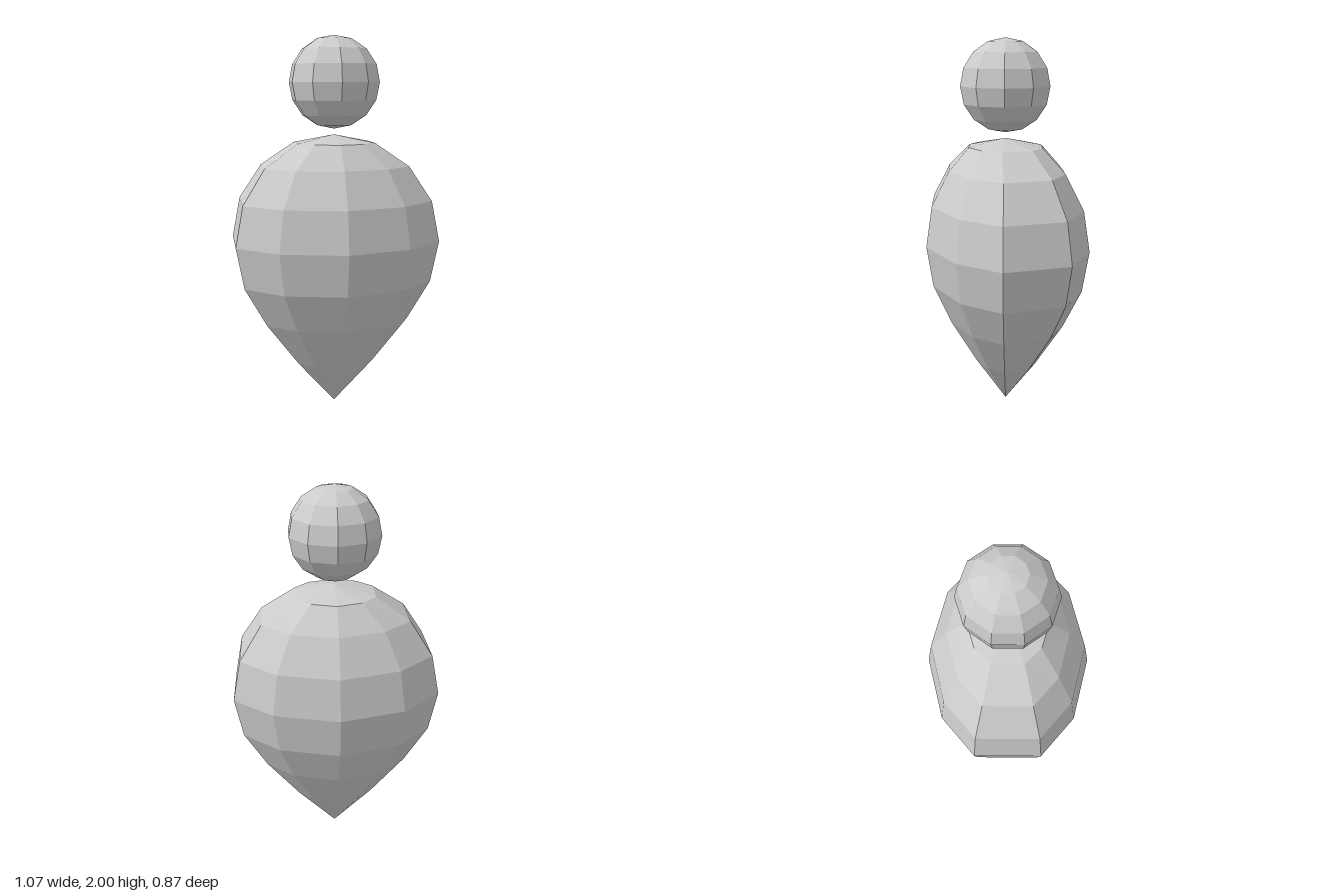
import * as THREE from 'three';

const SIDES = 10, RINGS = 8;

// Faceted ball with a vertex row facing the front and back
function ball(name, radius) {
  const geometry = new THREE.SphereGeometry(radius, SIDES, RINGS);
  geometry.rotateY(Math.PI / 2);
  const material = new THREE.MeshStandardMaterial({ color: 0xcccccc, flatShading: true });
  const mesh = new THREE.Mesh(geometry, material);
  mesh.name = name;
  return mesh;
}

export function createModel() {
  const group = new THREE.Group();
  group.name = 'pawnFigure';

  // Head: plain low-poly ball floating above the body
  const head = ball('head', 0.24);
  head.position.y = 1.76;
  group.add(head);

  // Body: oval ball whose lower half is drawn out to a point
  const body = ball('body', 1);
  const heights = [1.49, 1.447, 1.326, 1.144, 0.93, 0.71, 0.495, 0.25, 0];
  const position = body.geometry.attributes.position;
  for (let i = 0; i < position.count; i++) {
    const ring = Math.floor(i / (SIDES + 1));
    const x = position.getX(i), z = position.getZ(i);
    // Broad flat flanks, and shoulders slightly squared front to back
    const flank = Math.abs(x) > 0.9 * Math.sin(ring * Math.PI / RINGS) ? 1.3 : 1;
    const shoulder = ring === 1 ? 1.2 : 1;
    position.setXYZ(i, x * 0.564, heights[ring], z * 0.435 * flank * shoulder);
  }
  body.geometry.computeVertexNormals();
  group.add(body);

  return group;
}
